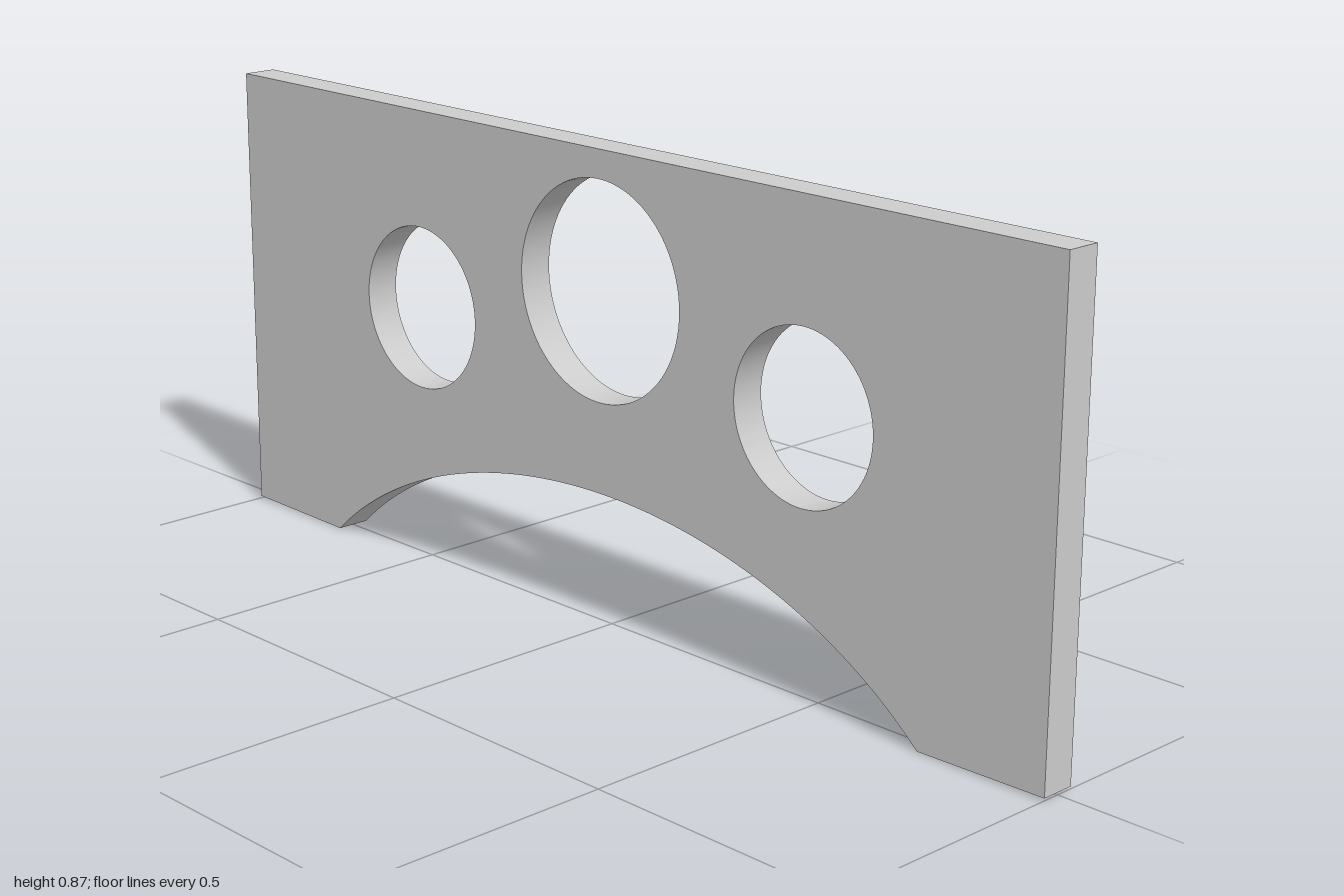
import * as THREE from 'three';
import { toCreasedNormals } from 'three/addons/utils/BufferGeometryUtils.js';

const HEIGHT = 0.867;
const THICKNESS = 0.065;
const FOOT = 0.743;      // inner edge of each foot
const ARCH_TOP = 0.253;
const ARCH_CENTRE = -0.35;

function roundHole(x, y, r) {
  const hole = new THREE.Path();
  hole.absarc(x, y, r, 0, Math.PI * 2, true);
  return hole;
}

export function createModel() {
  const group = new THREE.Group();
  group.name = 'archedPanel';

  // Outline: two feet, a shallow elliptical arch between them, straight sides and top
  const ry = ARCH_TOP - ARCH_CENTRE;
  const sinEnd = -ARCH_CENTRE / ry;
  const rx = FOOT / Math.sqrt(1 - sinEnd * sinEnd);
  const end = Math.asin(sinEnd);

  const outline = new THREE.Shape();
  outline.moveTo(-1, 0.004);
  outline.lineTo(-FOOT, 0);
  outline.absellipse(0, ARCH_CENTRE, rx, ry, Math.PI - end, end, true);
  outline.lineTo(1, 0.004);
  outline.lineTo(1, HEIGHT);
  outline.lineTo(-1, HEIGHT);
  outline.closePath();

  // One large hole in the middle, a smaller one on each side
  outline.holes.push(roundHole(0, 0.617, 0.198));
  for (const side of [-1, 1]) outline.holes.push(roundHole(side * 0.48, 0.497, 0.153));

  const geometry = new THREE.ExtrudeGeometry(outline, {
    depth: THICKNESS, bevelEnabled: false, curveSegments: 48,
  });
  geometry.translate(0, 0, -THICKNESS / 2);

  const panel = new THREE.Mesh(
    toCreasedNormals(geometry, Math.PI / 6),
    new THREE.MeshStandardMaterial({ color: 0xcccccc }),
  );
  panel.name = 'panel';
  group.add(panel);
  return group;
}
